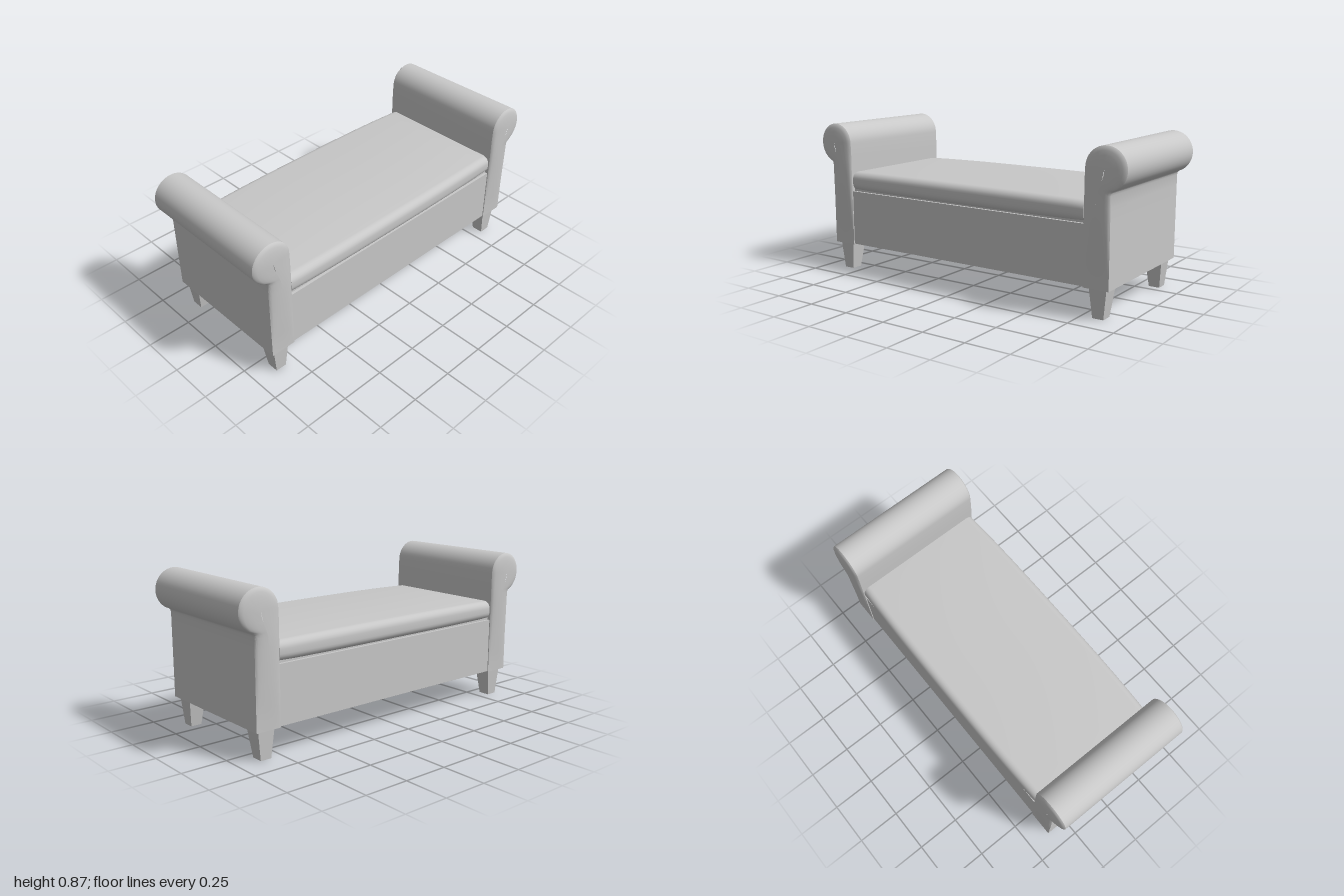
import * as THREE from 'three';
import { toCreasedNormals } from 'three/addons/utils/BufferGeometryUtils.js';

// Skin a list of closed rings (arrays of [x, y, z]) with quads
function loft(rings) {
  const n = rings[0].length;
  const index = [];
  for (let i = 0; i < rings.length - 1; i++) {
    for (let j = 0; j < n; j++) {
      const k = (j + 1) % n;
      const a = i * n + j, b = i * n + k, c = b + n, d = a + n;
      index.push(a, b, c, a, c, d);
    }
  }
  const geometry = new THREE.BufferGeometry();
  geometry.setAttribute('position', new THREE.Float32BufferAttribute(rings.flat(2), 3));
  geometry.setIndex(index);
  return toCreasedNormals(geometry, 0.6);
}

// Rolled arm: straight panel with a round roll on top and softly padded ends
function armGeometry() {
  const cx = 0.887, cy = 0.758, r = 0.113, bottom = 0.158, half = 0.395;
  const outline = [];
  for (let i = 0; i <= 8; i++) outline.push([0.915, THREE.MathUtils.lerp(bottom, 0.63, i / 8)]);
  outline.push([0.918, 0.643]);
  for (let i = 0; i <= 32; i++) {
    const a = THREE.MathUtils.degToRad(-70 + 250 * i / 32);
    outline.push([cx + r * Math.cos(a), cy + r * Math.sin(a)]);
  }
  for (let i = 1; i <= 10; i++) outline.push([0.772, THREE.MathUtils.lerp(cy, bottom, i / 10)]);

  // Each ring is the outline pulled towards a middle line and pushed outwards
  const ring = (t, side) => outline.map(([x, y]) => {
    const sy = Math.min(y, cy);
    const sx = THREE.MathUtils.lerp(0.844, cx, THREE.MathUtils.smoothstep(sy, 0.6, cy));
    const depth = 0.02 * THREE.MathUtils.smoothstep(sy, bottom - 0.1, 0.72) * Math.min(1, (sy - bottom) / 0.15);
    return [
      THREE.MathUtils.lerp(x, sx, t),
      THREE.MathUtils.lerp(y, sy, t),
      side * (half + depth * Math.sqrt(1 - (1 - t) ** 2)),
    ];
  });
  const steps = [0, 0.06, 0.2, 0.4, 0.65, 1];
  return loft([
    ...steps.slice().reverse().map((t) => ring(t, -1)),
    ...steps.map((t) => ring(t, 1)),
  ]);
}

// Seat lid: rounded long edges, slightly fuller towards the middle
function cushionGeometry() {
  const halfX = 0.767, halfZ = 0.392, y0 = 0.484, y1 = 0.591, r = 0.042;
  const mid = (y0 + y1) / 2, hy = (y1 - y0) / 2;
  const ring = (x, scale = 1) => {
    const full = 1 - Math.abs(x / halfX) ** 3;
    const points = [];
    for (let q = 0; q < 4; q++) {
      const sy = q === 0 || q === 3 ? 1 : -1;
      const sz = q < 2 ? 1 : -1;
      for (let i = 0; i <= 6; i++) {
        const a = (q + i / 6) * Math.PI / 2;
        const y = sy * (hy - r) + r * Math.cos(a);
        const z = sz * (halfZ - r) + r * Math.sin(a);
        const lift = y > 0 ? 0.007 * full : 0;
        points.push([x, mid + (y + lift) * scale, z * (1 + 0.034 * full) * scale]);
      }
    }
    return points;
  };
  const rings = [ring(-halfX, 0)];
  for (let i = 0; i <= 24; i++) rings.push(ring(THREE.MathUtils.lerp(-halfX, halfX, i / 24)));
  rings.push(ring(halfX, 0));
  return loft(rings);
}

// Square leg, narrowing to the floor
function legGeometry(sx, sz) {
  const geometry = new THREE.BoxGeometry(1, 0.16, 1);
  const p = geometry.attributes.position;
  for (let i = 0; i < p.count; i++) {
    const top = p.getY(i) > 0;
    p.setXYZ(
      i,
      sx * 0.845 + p.getX(i) * (top ? 0.098 : 0.062),
      top ? 0.16 : 0,
      sz * (top ? 0.325 : 0.333) + p.getZ(i) * (top ? 0.1 : 0.066),
    );
  }
  geometry.computeVertexNormals();
  return geometry;
}

export function createModel() {
  const group = new THREE.Group();
  const grey = new THREE.MeshStandardMaterial({ color: 0xc8c8c8 });
  grey.name = 'light grey';

  const add = (name, geometry) => {
    const mesh = new THREE.Mesh(geometry, grey);
    mesh.name = name;
    group.add(mesh);
    return mesh;
  };

  // Storage box under the seat
  add('base', new THREE.BoxGeometry(1.56, 0.317, 0.78)).position.y = 0.3205;
  // Recessed seam between box and lid
  add('seam', new THREE.BoxGeometry(1.54, 0.03, 0.75)).position.y = 0.482;
  add('seatCushion', cushionGeometry());

  // Arms: the right one is the left one turned around
  const arm = armGeometry();
  add('leftArm', arm);
  add('rightArm', arm).rotation.y = Math.PI;

  // Four legs
  for (const sx of [1, -1]) {
    for (const sz of [1, -1]) {
      add(`${sz > 0 ? 'front' : 'back'}${sx > 0 ? 'Left' : 'Right'}Leg`, legGeometry(sx, sz));
    }
  }
  return group;
}
